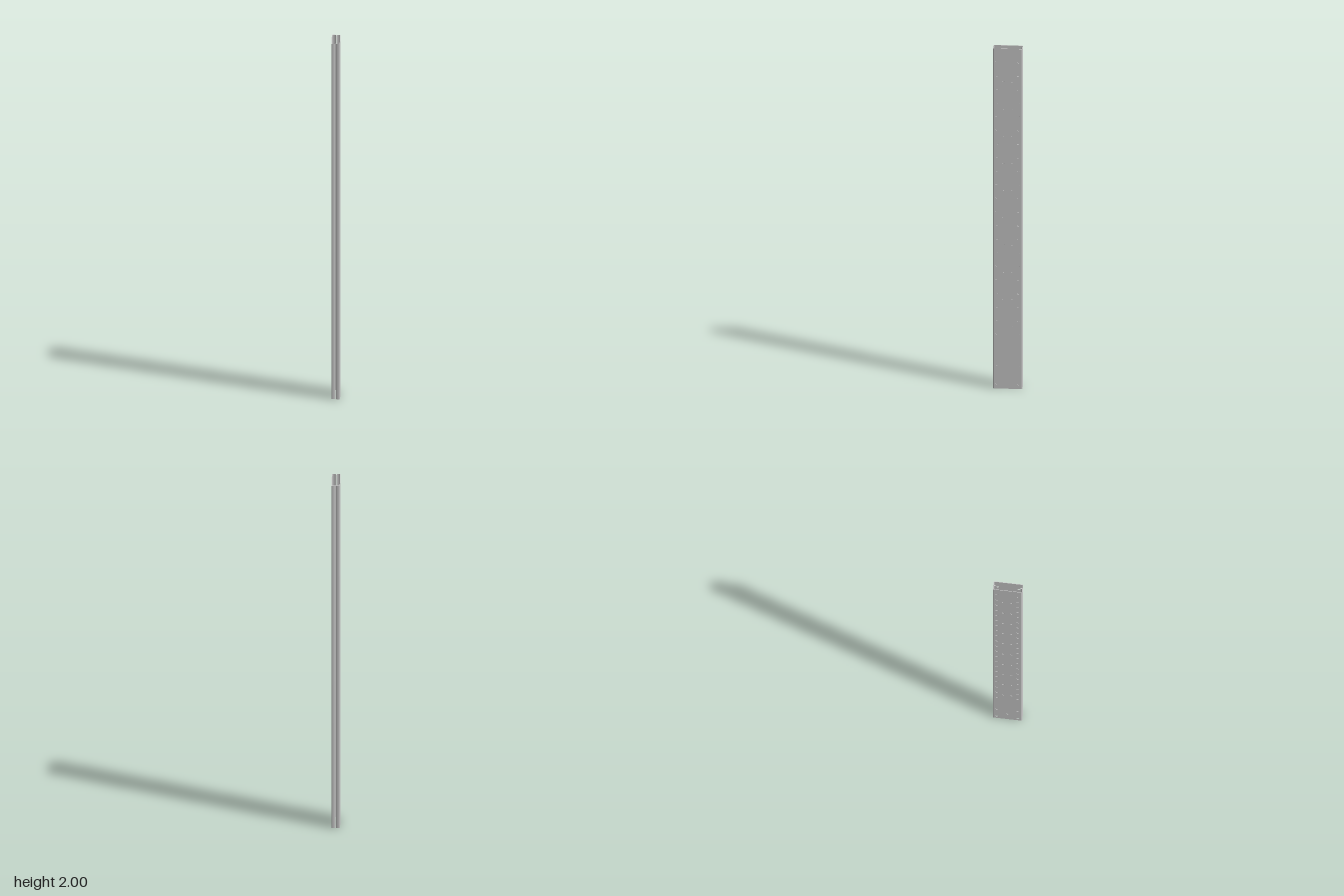
import * as THREE from 'three';
import { toCreasedNormals } from 'three/addons/utils/BufferGeometryUtils.js';

const H = 2, HALF_X = 0.0235, HALF_Z = 0.079; // height and half section
const T = 0.0024, R = 0.005, LIP = 0.011;     // sheet thickness, outer bend radius, lip length
const SEAM = 0.0003;                          // half gap between the two lips
const material = new THREE.MeshStandardMaterial({ color: 0xcccccc });

function mesh(geometry, name) {
  const m = new THREE.Mesh(toCreasedNormals(geometry, 0.6), material);
  m.name = name;
  return m;
}

// Flat perforated web on the +x side
function web() {
  const w = HALF_Z - R;
  const shape = new THREE.Shape([
    new THREE.Vector2(-w, 0), new THREE.Vector2(w, 0),
    new THREE.Vector2(w, H), new THREE.Vector2(-w, H),
  ]);
  const hole = (z, y, r) => shape.holes.push(new THREE.Path().absarc(z, y, r, 0, Math.PI * 2, true));
  for (const s of [-1, 1]) {
    for (let i = 0; i < 21; i++) hole(s * 0.057, 0.325 + i * 0.08, 0.008);
    for (let i = 0; i < 10; i++) hole(s * 0.023, 0.37 + i * 0.16, 0.006);
    hole(s * 0.057, 0.03, 0.008);
    hole(s * 0.057, 0.14, 0.008);
  }
  hole(0, 0.08, 0.006);
  const g = new THREE.ExtrudeGeometry(shape, { depth: T, bevelEnabled: false, curveSegments: 8 });
  g.rotateY(Math.PI / 2).translate(HALF_X - T, 0, 0);
  return mesh(g, 'perforatedWeb');
}

// Rounded corner, flange and inward lip, extruded upwards
function flange(side) {
  const r = R - T, cx = HALF_X - R, cy = HALF_Z - R, lx = SEAM + R, end = HALF_Z - LIP;
  const p = new THREE.Shape();
  p.moveTo(HALF_X, cy);
  p.absarc(cx, cy, R, 0, Math.PI / 2, false);
  p.absarc(lx, cy, R, Math.PI / 2, Math.PI, false);
  p.lineTo(SEAM, end);
  p.lineTo(SEAM + T, end);
  p.absarc(lx, cy, r, Math.PI, Math.PI / 2, true);
  p.absarc(cx, cy, r, Math.PI / 2, 0, true);
  p.closePath();
  const pts = p.getPoints(4).map(v => new THREE.Vector2(v.x, -side * v.y));
  const g = new THREE.ExtrudeGeometry(new THREE.Shape(pts), { depth: H, bevelEnabled: false });
  g.rotateX(-Math.PI / 2);
  return mesh(g, side > 0 ? 'frontFlange' : 'backFlange');
}

export function createModel() {
  const model = new THREE.Group();
  model.name = 'perforatedPost';
  // Two identical lipped channels face each other to form the hollow post
  for (const [name, angle] of [['leftChannel', 0], ['rightChannel', Math.PI]]) {
    const channel = new THREE.Group();
    channel.name = name;
    channel.add(web(), flange(1), flange(-1));
    channel.rotation.y = angle;
    model.add(channel);
  }
  return model;
}
